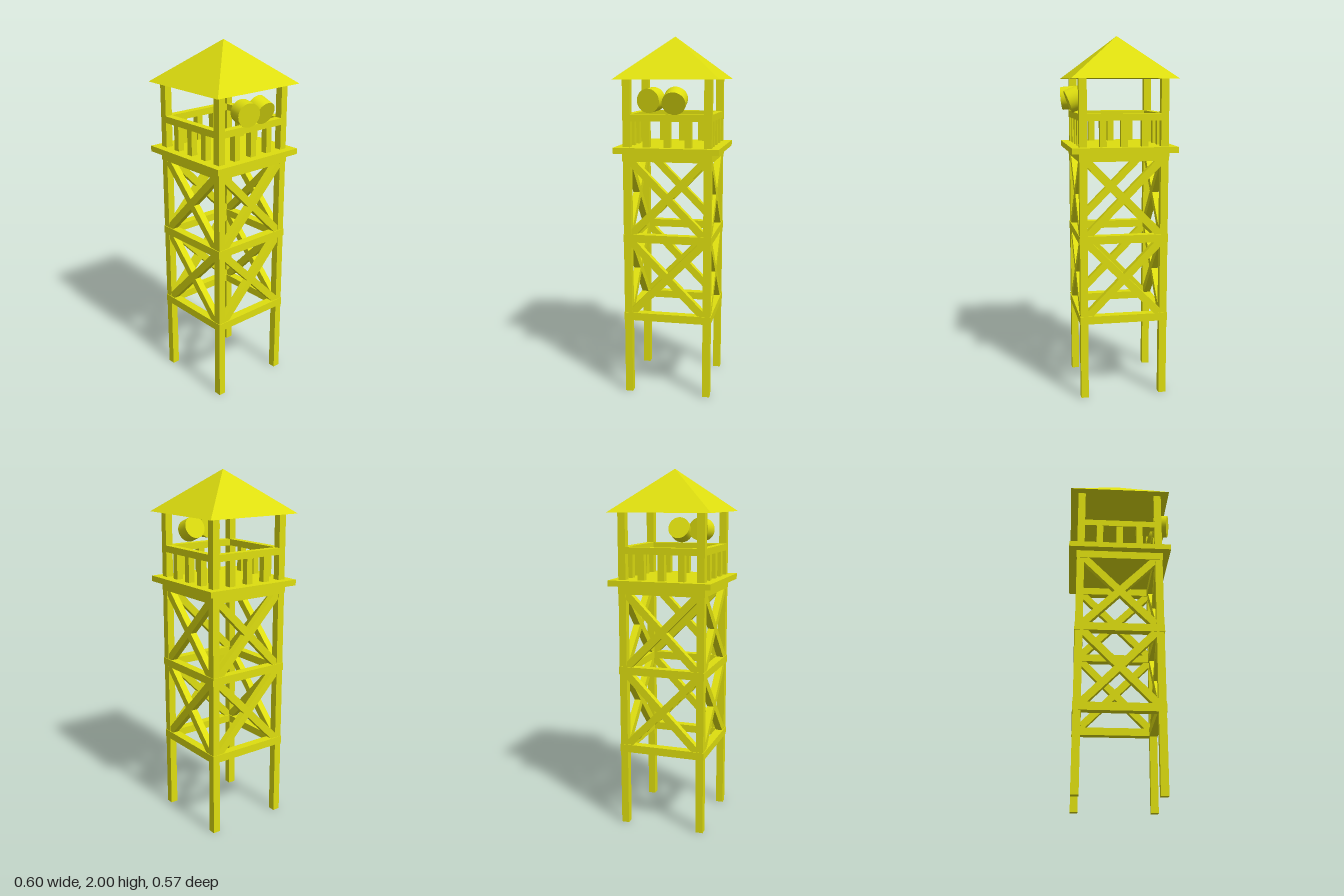
import * as THREE from 'three';

const HALF = 0.222; // distance from tower axis to post centres
const yellow = new THREE.MeshStandardMaterial({ color: 0xdede0f });
yellow.name = 'yellow';

function add(parent, name, geometry, x = 0, y = 0, z = 0) {
  const mesh = new THREE.Mesh(geometry, yellow);
  mesh.name = name;
  mesh.position.set(x, y, z);
  parent.add(mesh);
  return mesh;
}
const box = (w, h, d) => new THREE.BoxGeometry(w, h, d);

// One side of the tower, facing +z
function makeSide() {
  const side = new THREE.Group();
  const levels = [0.453, 0.905, 1.354];
  for (const y of levels) add(side, 'crossBeam', box(0.49, 0.044, 0.048), 0, y, HALF);

  // X braces between neighbouring beams
  for (let i = 0; i < 2; i++) {
    const rise = levels[i + 1] - levels[i];
    const length = Math.hypot(2 * HALF, rise) - 0.03;
    for (const s of [-1, 1]) {
      const brace = add(side, 'brace', box(length, 0.042, 0.038), 0, levels[i] + rise / 2, HALF);
      brace.rotation.z = s * Math.atan2(rise, 2 * HALF);
    }
  }

  // Railing above the platform
  add(side, 'handrail', box(2 * HALF, 0.037, 0.042), 0, 1.568, HALF);
  for (const x of [-0.114, 0, 0.114]) add(side, 'baluster', box(0.037, 0.15, 0.037), x, 1.48, HALF);
  return side;
}

// Searchlight drum: front disc centre, aimed along +x then pitched and turned
function addLamp(parent, x, y, z, pitchDown, yaw) {
  const lamp = new THREE.Group();
  lamp.name = 'searchlight';
  lamp.position.set(x, y, z);
  lamp.rotation.set(0, -yaw, -pitchDown, 'YZX');
  const drum = add(lamp, 'lampDrum', new THREE.CylinderGeometry(0.064, 0.064, 0.08, 32), -0.04, 0, 0);
  drum.rotation.z = -Math.PI / 2;
  parent.add(lamp);
}

export function createModel() {
  const model = new THREE.Group();
  model.name = 'watchtower';
  const tower = new THREE.Group();
  tower.name = 'tower';
  tower.position.x = -0.0125;
  model.add(tower);

  // Corner posts run from the ground to the roof
  for (const x of [-HALF, HALF])
    for (const z of [-HALF, HALF]) add(tower, 'cornerPost', box(0.042, 1.772, 0.042), x, 0.886, z);

  for (let i = 0; i < 4; i++) {
    const side = makeSide();
    side.name = 'towerSide';
    side.rotation.y = i * Math.PI / 2;
    tower.add(side);
  }

  add(tower, 'platform', box(0.575, 0.032, 0.575), 0, 1.394, 0);

  // Pyramid roof with a closed underside
  const roof = new THREE.ConeGeometry(0.2875 * Math.SQRT2, 0.23, 4).toNonIndexed();
  roof.rotateY(Math.PI / 4);
  roof.computeVertexNormals();
  add(tower, 'roof', roof, 0, 1.885, 0);

  addLamp(model, 0.286, 1.66, 0.088, 0.09, 0.22);
  addLamp(model, 0.267, 1.645, -0.045, 0.366, 0);
  return model;
}
